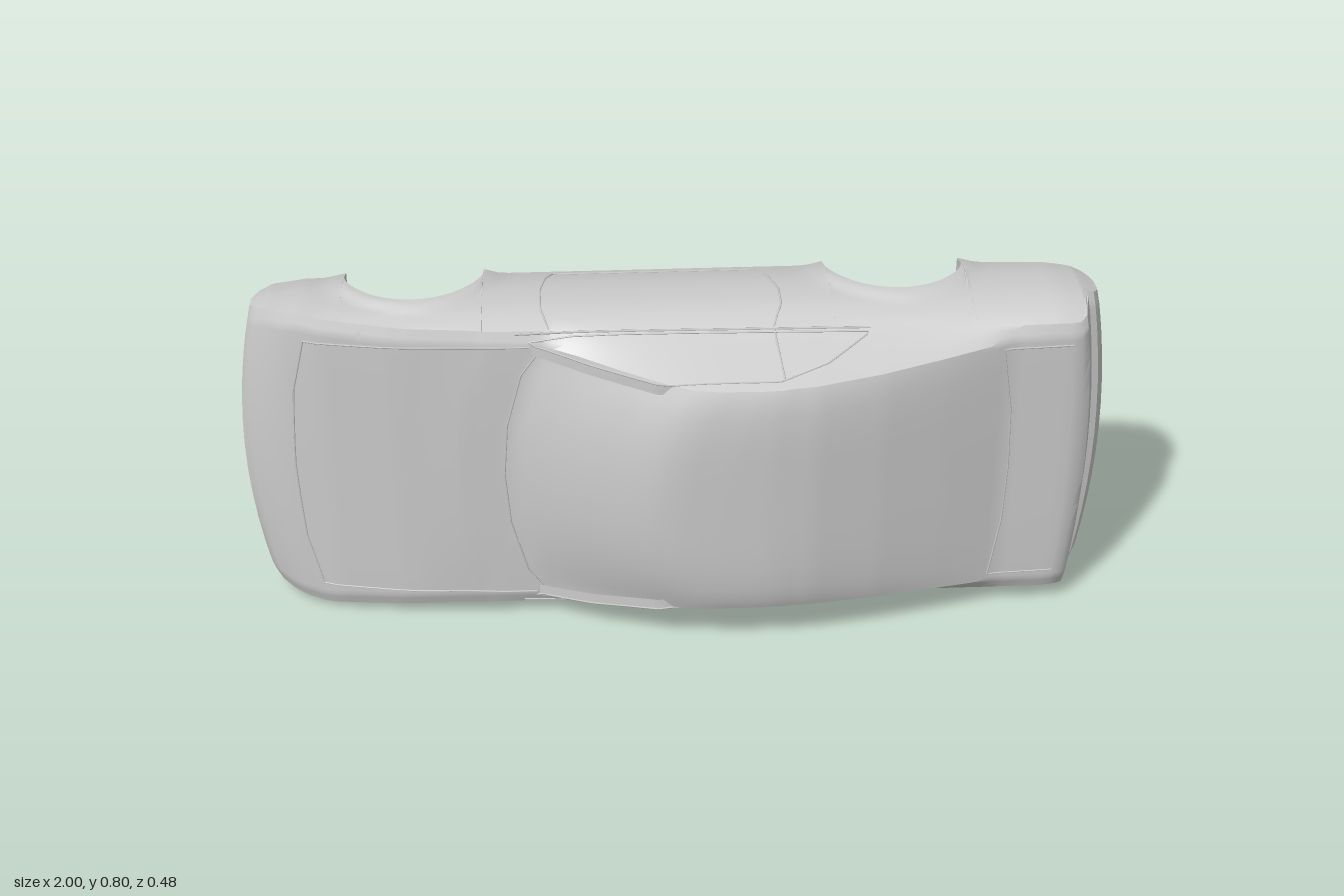
import * as THREE from 'three';
import { toCreasedNormals } from 'three/addons/utils/BufferGeometryUtils.js';

// Car body shell: length along x (nose at -x), width along y, roof towards +z.
const MID = 0.402;
const { clamp, lerp } = THREE.MathUtils;
const curve = (table) => (t) => {
  if (t <= table[0][0]) return table[0][1];
  for (let i = 1; i < table.length; i++) {
    const [a, p] = table[i - 1], [b, q] = table[i];
    if (t <= b) return lerp(p, q, (t - a) / (b - a));
  }
  return table[table.length - 1][1];
};

// Centre-line height, lower edge, half-width by height, and end taper
const topLine = curve([[-1, -0.09], [-0.98, -0.062], [-0.94, -0.033], [-0.9, -0.01], [-0.8, 0.022],
  [-0.65, 0.05], [-0.5, 0.067], [-0.38, 0.07], [-0.3, 0.108], [-0.2, 0.163], [-0.1, 0.212], [-0.05, 0.23],
  [0, 0.237], [0.1, 0.239], [0.2, 0.237], [0.3, 0.226], [0.45, 0.189], [0.6, 0.14], [0.75, 0.087],
  [0.92, 0.078], [0.945, 0.058], [0.962, 0], [0.965, -0.03], [0.985, -0.036], [1, -0.06]]);
const floorLine = curve([[-1, -0.14], [-0.98, -0.19], [-0.94, -0.224], [-0.75, -0.235], [-0.749, -0.24],
  [0.66, -0.24], [0.67, -0.235], [0.93, -0.195], [0.98, -0.175], [1, -0.12]]);
const sideWidth = curve([[-0.24, 0.355], [-0.2, 0.369], [-0.14, 0.385], [-0.09, 0.391], [-0.04, 0.392],
  [0, 0.388], [0.04, 0.374], [0.085, 0.347]]);
const taper = curve([[-1, 0.93], [-0.95, 0.97], [-0.85, 1], [0.88, 1], [0.95, 0.98], [1, 0.93]]);

const ARCHES = [-0.59, 0.51], R = 0.158, ARCH_Z = -0.195;
function lowerEdge(s) {
  for (const c of ARCHES) {
    const d = Math.abs(s - c);
    if (d < R) return ARCH_Z + Math.sqrt(R * R - d * d);
  }
  return floorLine(s);
}
// Half-width of the lower body, with the lips round the wheel arches
function bodyWidth(s, z) {
  let flare = 0;
  for (const c of ARCHES) flare = Math.max(flare, clamp((0.2 - Math.hypot(s - c, z - ARCH_Z)) / 0.025, 0, 1));
  return sideWidth(z) * taper(s) + 0.01 * flare;
}
// Key measures of one cross-section: belt, roof rail and crown
function frame(s) {
  const sweep = 0.08 * clamp((s + 0.6) / 0.15, 0, 1) * clamp((0.25 - s) / 0.1, 0, 1);
  const edge = topLine(s - sweep);
  const belt = Math.min(lerp(0.055, 0.07, clamp((s + 0.4) / 1.1, 0, 1)), edge - 0.012);
  const rise = edge - belt, beltW = bodyWidth(s, belt);
  return { sweep, belt, beltW, railZ: belt + rise * 0.88, railW: beltW - 0.03 - 0.25 * (rise - 0.012) };
}
function crown(s, u, f = frame(s)) {
  return f.railZ + (topLine(s - f.sweep * u * u) - f.railZ) * (1 - u ** 6);
}
function sideAt(s, z) {
  const f = frame(s);
  if (z <= f.belt) return bodyWidth(s, z);
  return lerp(f.beltW, f.railW, clamp((z - f.belt) / (f.railZ - f.belt), 0, 1));
}
// Place a point; both ends are bowed in plan
function place(s, w, z) {
  const u2 = (w / 0.39) ** 2;
  const x = s + 0.05 * u2 * clamp((-0.8 - s) / 0.2, 0, 1) - 0.04 * u2 * clamp((s - 0.8) / 0.2, 0, 1);
  return new THREE.Vector3(x, MID + w, z);
}

function section(s) {
  const f = frame(s), low = lowerEdge(s), half = [];
  for (let i = 0; i <= 10; i++) {
    const z = lerp(low, f.belt, i / 10);
    half.push([bodyWidth(s, z), z]);
  }
  for (const k of [0.33, 0.67]) half.push([lerp(f.beltW, f.railW, k), lerp(f.belt, f.railZ, k)]);
  for (const u of [1, 0.97, 0.93, 0.87, 0.78, 0.6, 0.4, 0.2]) half.push([f.railW * u, crown(s, u, f)]);
  const mirror = half.map(([w, z]) => [-w, z]).reverse();
  return [...half, [0, crown(s, 0, f)], ...mirror].map(([w, z]) => place(s, w, z));
}

const material = new THREE.MeshStandardMaterial({ color: 0xcccccc, side: THREE.DoubleSide });
function add(group, name, geometry) {
  const mesh = new THREE.Mesh(geometry, material);
  mesh.name = name;
  group.add(mesh);
}
// Skin rows of points into a surface
function loft(rows, crease = 0.6) {
  const n = rows[0].length, index = [];
  for (let i = 0; i < rows.length - 1; i++) for (let j = 0; j < n - 1; j++) {
    const a = i * n + j, b = a + n;
    index.push(a, b, a + 1, b, b + 1, a + 1);
  }
  const g = new THREE.BufferGeometry().setFromPoints(rows.flat());
  g.setIndex(index);
  return toCreasedNormals(g, crease);
}
function seam(group, name, points, radius = 0.0022) {
  const path = new THREE.CurvePath();
  for (let i = 1; i < points.length; i++) path.add(new THREE.LineCurve3(points[i - 1], points[i]));
  add(group, name, new THREE.TubeGeometry(path, points.length * 3, radius, 5));
}
// Subdivide a polyline so that it follows the curved body
const divide = (pts, n = 8) => pts.slice(1).flatMap((p, i) => Array.from({ length: n + 1 },
  (_, k) => [lerp(pts[i][0], p[0], k / n), lerp(pts[i][1], p[1], k / n)]).slice(i ? 1 : 0));

export function createModel() {
  const car = new THREE.Group();
  car.name = 'carBody';

  // Stations along the length, doubled at the wheel arch edges
  const stations = [-0.99, -0.98, -0.94, 0.945, 0.962, 0.965, 0.985, 0.993];
  for (let i = 0; i <= 80; i++) stations.push(-1 + i / 40);
  for (const c of ARCHES) {
    for (let i = 0; i <= 24; i++) stations.push(c - Math.cos(i / 24 * Math.PI) * (R - 1e-4));
    stations.push(c - R - 1e-4, c + R + 1e-4);
  }
  stations.sort((a, b) => a - b);
  const xs = stations.filter((s, i) => !i || s - stations[i - 1] > 5e-5);

  // Outer skin, with nose and tail closed
  const rows = xs.map(section);
  const close = (row, z) => row.map((p) => new THREE.Vector3(p.x, p.y, z));
  add(car, 'bodyShell', loft([close(rows[0], -0.12), ...rows, close(rows[rows.length - 1], -0.095)]));

  // Closed pans under nose and tail
  const pan = (test) => loft(xs.filter(test).map((s) => {
    const z = lowerEdge(s), w = bodyWidth(s, z);
    return Array.from({ length: 13 }, (_, i) => place(s, lerp(-w, w, i / 12), z));
  }));
  add(car, 'rearUnderpan', pan((s) => s > 0.668));
  add(car, 'frontUnderpan', pan((s) => s < -0.92));

  for (const m of [1, -1]) {
    const side = new THREE.Group();
    side.name = m > 0 ? 'upperSide' : 'lowerSide';
    car.add(side);

    // Sill underside and wheel arch liners
    add(side, 'sillAndArchLiners', loft(xs.filter((s) => s > -0.94 && s < 0.669).map((s) => {
      const z = lowerEdge(s);
      return [place(s, m * bodyWidth(s, z), z), place(s, m * 0.29, z)];
    })));

    // Door and window seams
    const onSide = (pts, out = 0.0005) => divide(pts).map(([x, z]) => place(x, m * (sideAt(x, z) + out), z));
    seam(side, 'doorSeam', onSide([[-0.285, 0.055], [-0.302, 0], [-0.303, -0.08], [-0.29, -0.16], [-0.275, -0.2],
      [0.19, -0.2], [0.215, -0.14], [0.235, -0.06], [0.236, 0], [0.215, 0.06]]));
    const glass = [[-0.33, 0.065], [-0.2, 0.135], [-0.05, 0.195], [0.22, 0.195], [0.33, 0.15], [0.43, 0.075], [-0.33, 0.065]];
    seam(side, 'windowSeam', onSide(glass));
    seam(side, 'windowPost', onSide([[0.215, 0.065], [0.23, 0.19]]));
    seam(side, 'beltLine', onSide([[-0.36, 0.058], [0.43, 0.066]]), 0.003);

    // Inner return flange round the side window
    add(side, 'windowFlange', loft(divide(glass).map(([x, z]) => {
      const w = sideAt(x, z);
      return [place(x, m * w, z), place(x, m * (w - 0.025), z)];
    })));
  }

  // Bonnet, windscreen, rear glass and boot lid seams
  const onTop = (pts) => divide(pts, 14).map(([x, w]) => {
    const f = frame(x), u = Math.min(1, Math.abs(w) / f.railW);
    return place(x, w, crown(x, u, f) + 0.0005);
  });
  seam(car, 'bonnetSeam', onTop([[-0.33, 0.33], [-0.84, 0.328], [-0.868, 0.2], [-0.875, 0],
    [-0.868, -0.2], [-0.84, -0.328], [-0.33, -0.33]]));
  seam(car, 'windscreenSeam', onTop([[-0.3, 0.33], [-0.35, 0.26], [-0.385, 0.13], [-0.395, 0],
    [-0.385, -0.13], [-0.35, -0.26], [-0.3, -0.33]]));
  seam(car, 'bootLidSeam', onTop([[0.9, 0.305], [0.73, 0.305], [0.755, 0.15], [0.76, 0],
    [0.755, -0.15], [0.73, -0.305], [0.9, -0.305]]));

  // Cross rib below the boot lid
  const rib = new THREE.BoxGeometry(0.015, 0.58, 0.03);
  rib.translate(0.74, MID, 0.062);
  add(car, 'bootRib', rib);
  return car;
}
